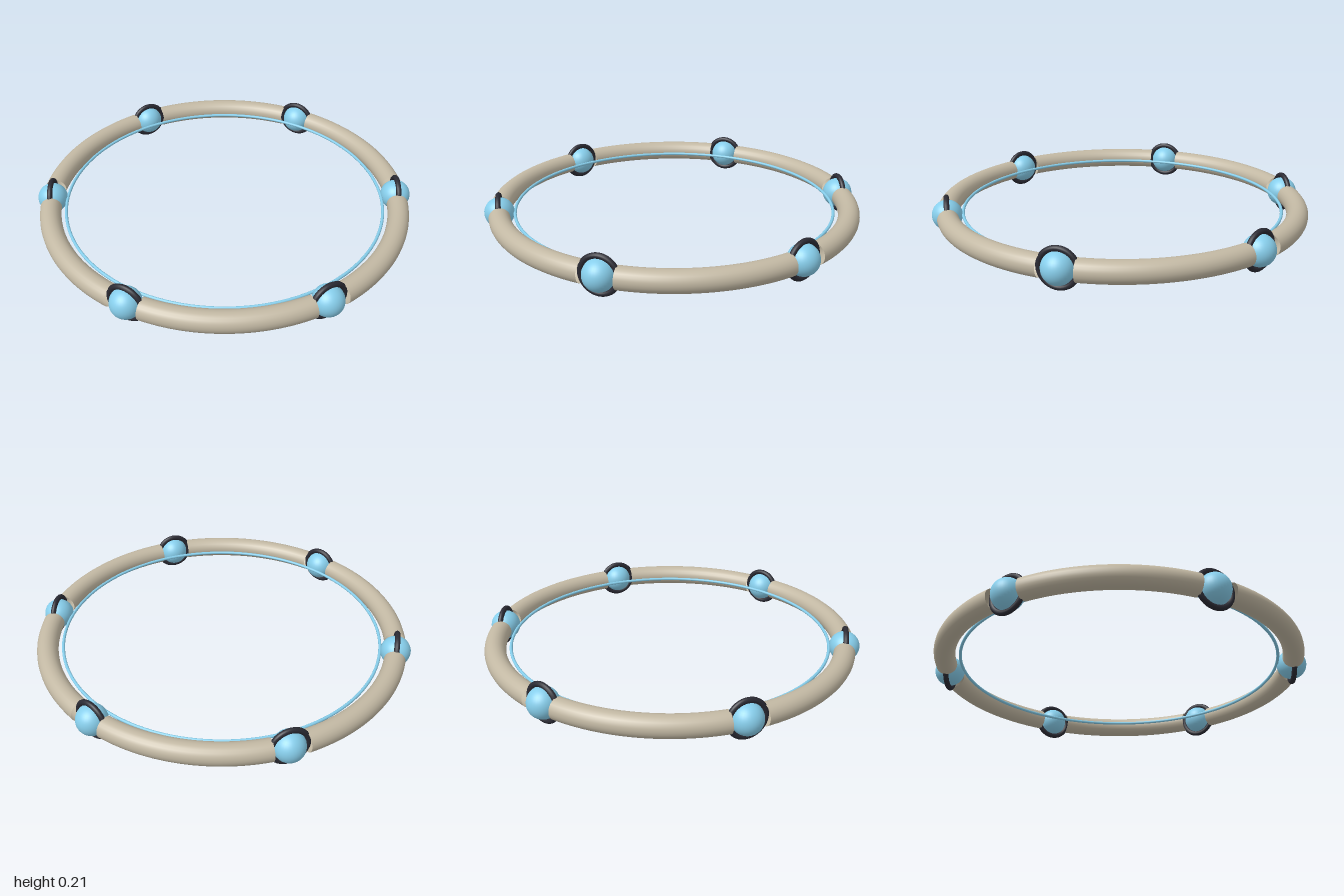
import * as THREE from 'three';

const R = 0.922;   // main ring radius
const Y = 0.105;   // height of the ring's centre plane
const COUNT = 6;
const STEP = (Math.PI * 2) / COUNT;
const HALF_GAP = THREE.MathUtils.degToRad(5.2);

export function createModel() {
  const model = new THREE.Group();
  model.name = 'segmentedRing';

  const tan = new THREE.MeshStandardMaterial({ color: 0xc2b8a3, side: THREE.DoubleSide });
  const blue = new THREE.MeshStandardMaterial({ color: 0x87ceeb });
  const dark = new THREE.MeshStandardMaterial({ color: 0x2a2a33 });

  const add = (parent, name, geometry, material) => {
    const mesh = new THREE.Mesh(geometry, material);
    mesh.name = name;
    parent.add(mesh);
    return mesh;
  };

  // Shared geometries; arcs are laid flat in the xz plane
  const segmentGeo = new THREE.TorusGeometry(R, 0.055, 24, 32, STEP - 2 * HALF_GAP)
    .rotateZ(HALF_GAP).rotateX(Math.PI / 2);
  const ballGeo = new THREE.SphereGeometry(0.078, 32, 24);
  const collarGeo = new THREE.TorusGeometry(0.091, 0.014, 12, 40).rotateY(Math.PI / 2);

  // Six arcs, each with a ball and an upright collar at the joint
  for (let i = 0; i < COUNT; i++) {
    const section = new THREE.Group();
    section.name = `section${i + 1}`;
    section.position.y = Y;
    section.rotation.y = -i * STEP;
    add(section, 'tubeSegment', segmentGeo, tan);
    add(section, 'jointBall', ballGeo, blue).position.x = R;
    add(section, 'jointCollar', collarGeo, dark).position.x = R;
    model.add(section);
  }

  // Thin inner hoop
  const hoopGeo = new THREE.TorusGeometry(0.842, 0.008, 12, 128).rotateX(Math.PI / 2);
  add(model, 'innerHoop', hoopGeo, blue).position.y = Y;

  return model;
}
